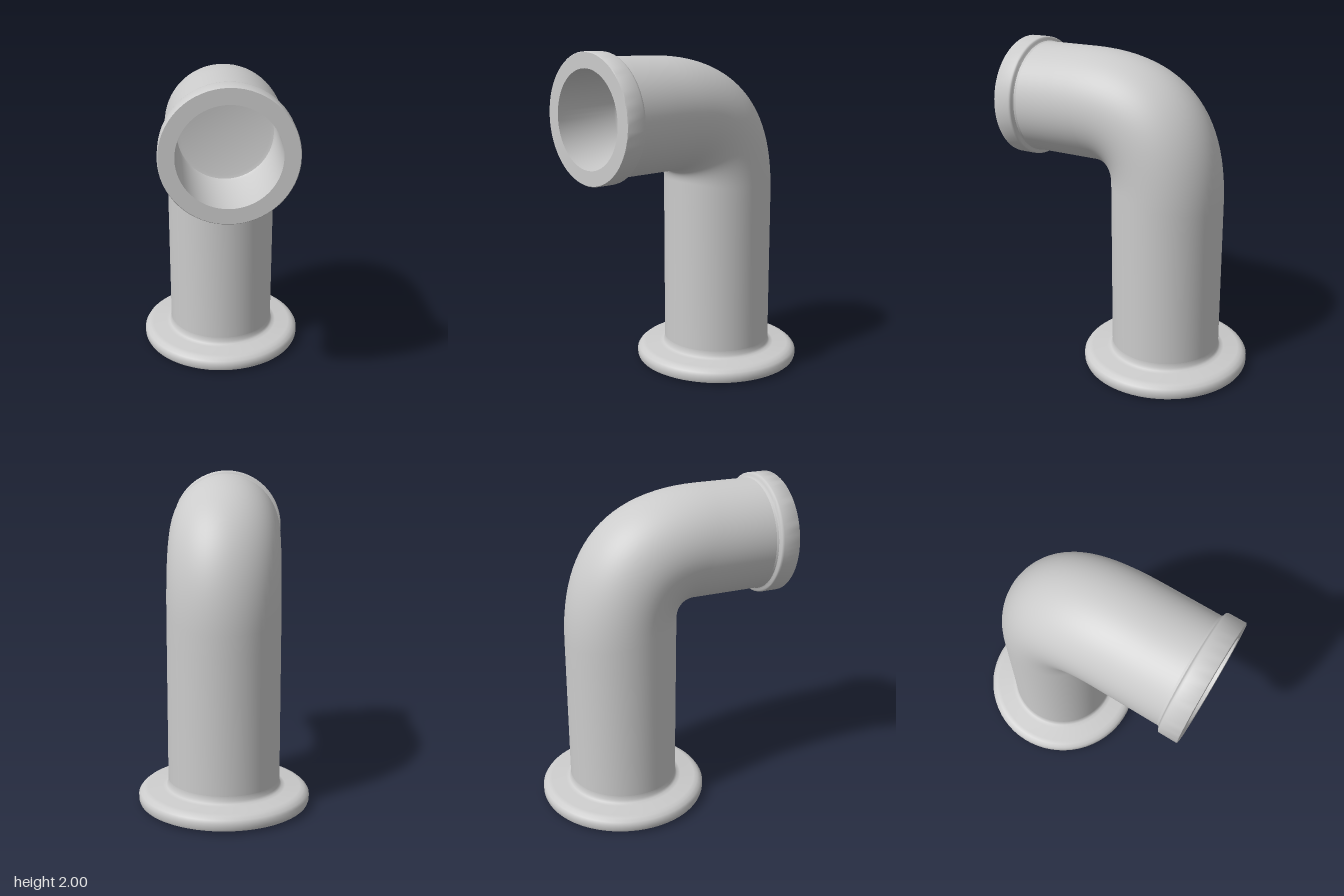
import * as THREE from 'three';
import { toCreasedNormals } from 'three/addons/utils/BufferGeometryUtils.js';

const R = 0.34;         // pipe radius
const AXIS_Z = -0.24;   // centre of the upright pipe
const AXIS_Y = 1.63;    // centre of the horizontal pipe
const SEGMENTS = 64;

const material = new THREE.MeshStandardMaterial({ color: 0xcccccc });

function lathe(name, profile) {
  const points = profile.map(([r, y]) => new THREE.Vector2(r, y));
  const geometry = toCreasedNormals(new THREE.LatheGeometry(points, SEGMENTS), 0.7);
  const mesh = new THREE.Mesh(geometry, material);
  mesh.name = name;
  return mesh;
}

// Skin of elliptical rings, each spanning from an outer to an inner point (z, y)
function elbowGeometry() {
  const v = (z, y) => new THREE.Vector2(z, y);
  const back = AXIS_Z - R, front = AXIS_Z + R;
  const top = AXIS_Y + R, under = AXIS_Y - R;
  const outer = new THREE.QuadraticBezierCurve(v(back, 1.08), v(back, top), v(0.3, top));
  const inner = new THREE.QuadraticBezierCurve(v(front, 1.21), v(front, under), v(0.18, under));

  const rings = [[v(back, 0.1), v(front, 0.1)], [v(back, 0.95), v(front, 1.08)]];
  const steps = 24;
  for (let i = 0; i <= steps; i++) rings.push([outer.getPoint(i / steps), inner.getPoint(i / steps)]);
  rings.push([v(0.4, top), v(0.3, under)], [v(0.66, top), v(0.66, under)]);

  const positions = [], index = [];
  rings.forEach(([o, n], i) => {
    for (let j = 0; j < SEGMENTS; j++) {
      const a = (j / SEGMENTS) * Math.PI * 2;
      const k = (1 + Math.cos(a)) / 2;
      positions.push(-Math.sin(a) * R, n.y + (o.y - n.y) * k, n.x + (o.x - n.x) * k);
      if (i === rings.length - 1) continue;
      const p = i * SEGMENTS + j, q = i * SEGMENTS + (j + 1) % SEGMENTS;
      index.push(p, q, p + SEGMENTS, q, q + SEGMENTS, p + SEGMENTS);
    }
  });
  const geometry = new THREE.BufferGeometry();
  geometry.setAttribute('position', new THREE.Float32BufferAttribute(positions, 3));
  geometry.setIndex(index);
  geometry.computeVertexNormals();
  return geometry;
}

export function createModel() {
  const model = new THREE.Group();
  model.name = 'elbowPipe';

  // Round foot plate with softened rim and a small fillet up to the pipe
  const base = lathe('baseFlange', [
    [0, 0], [0.22, 0.004], [0.5, 0.01], [0.515, 0.017], [0.52, 0.03], [0.52, 0.062],
    [0.51, 0.078], [0.49, 0.094], [0.465, 0.1], [0.375, 0.102], [0.352, 0.108], [0.342, 0.122], [R, 0.15],
  ]);
  base.position.z = AXIS_Z;
  model.add(base);

  // Upright pipe, bend and horizontal pipe in one smooth skin
  const pipe = new THREE.Mesh(elbowGeometry(), material);
  pipe.name = 'bentPipe';
  model.add(pipe);

  // Collar around the mouth, with the blind bore behind it
  const collar = lathe('mouthCollar', [
    [R, 0.62], [0.344, 0.632], [0.354, 0.638], [0.364, 0.64], [0.369, 0.646], [0.37, 0.655],
    [0.37, 0.755], [0.366, 0.76], [0.28, 0.76], [0.28, 0.36], [0.27, 0.345], [0.25, 0.34], [0, 0.34],
  ]);
  collar.rotation.x = Math.PI / 2;
  collar.position.y = AXIS_Y;
  model.add(collar);

  return model;
}
